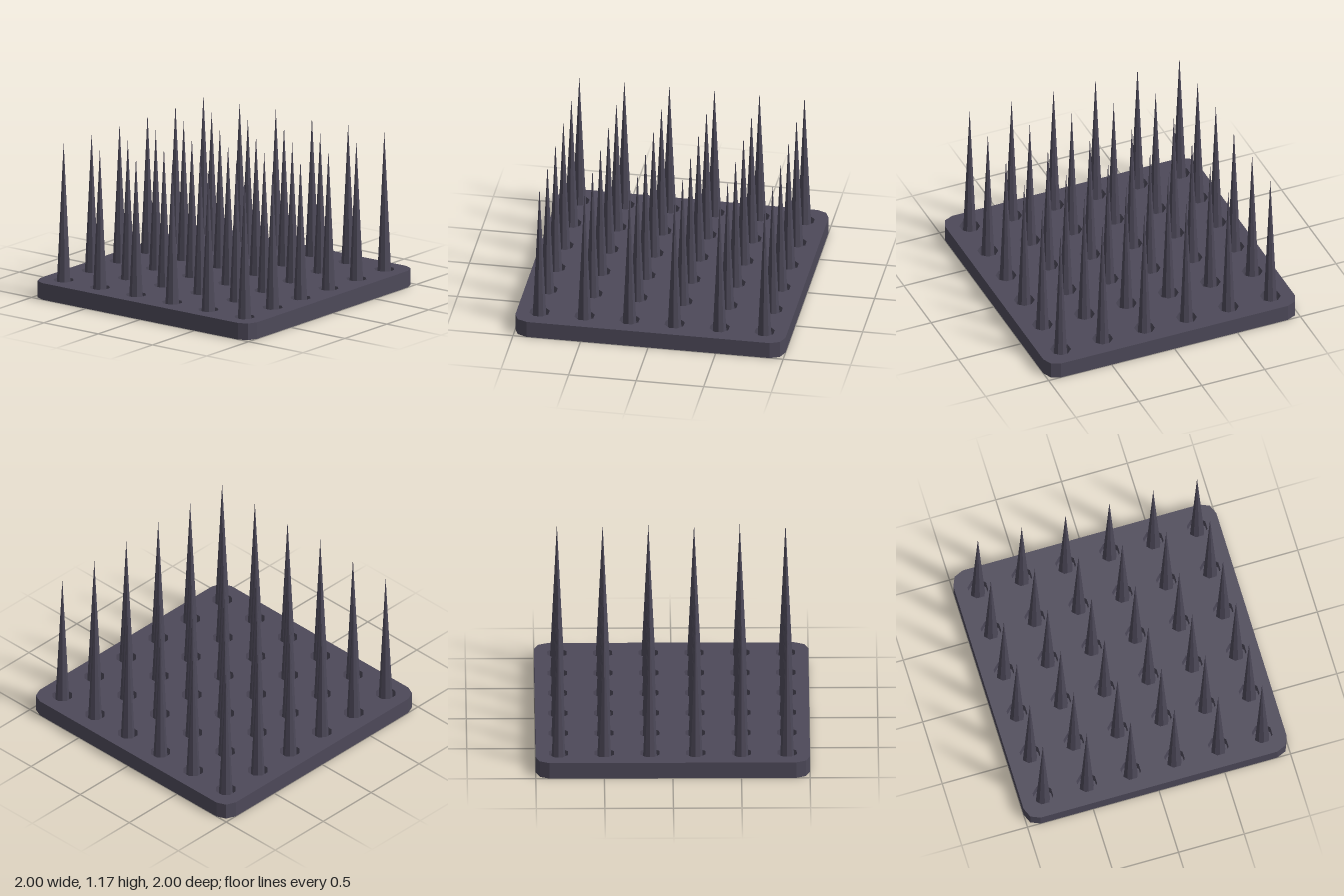
import * as THREE from 'three';
import { mergeGeometries } from 'three/addons/utils/BufferGeometryUtils.js';

const TOP = 0.125, FLOOR = 0.02, TIP = 1.17;
const PIT_R = 0.076, SPIKE_R = 0.054, SIDES = 8, COUNT = 6, PITCH = 1 / 3;

// Vertical wall along a closed outline; counter-clockwise points face outward
function wall(points, y0, y1) {
  const pos = [];
  points.forEach((a, i) => {
    const b = points[(i + 1) % points.length];
    pos.push(a.x, y0, -a.y, b.x, y0, -b.y, b.x, y1, -b.y);
    pos.push(a.x, y0, -a.y, b.x, y1, -b.y, a.x, y1, -a.y);
  });
  const geo = new THREE.BufferGeometry();
  geo.setAttribute('position', new THREE.Float32BufferAttribute(pos, 3));
  geo.computeVertexNormals();
  return geo;
}

// Square outline with two-facet corners, counter-clockwise
function plateOutline() {
  const corner = [[1, 0.9], [0.97, 0.97], [0.9, 1]];
  const points = [];
  for (let q = 0; q < 4; q++) {
    for (const [x, y] of corner) {
      points.push(new THREE.Vector2(x, y).rotateAround(new THREE.Vector2(), q * Math.PI / 2));
    }
  }
  return points;
}

// Octagon with flats square to the plate, clockwise so its wall faces inward
function pitOutline(cx, cy) {
  return Array.from({ length: SIDES }, (_, i) => {
    const a = -(i + 0.5) / SIDES * Math.PI * 2;
    return new THREE.Vector2(cx + PIT_R * Math.cos(a), cy + PIT_R * Math.sin(a));
  });
}

export function createModel() {
  const group = new THREE.Group();
  const material = new THREE.MeshStandardMaterial({ color: 0x4d4959, flatShading: true });
  const add = (name, geo) => {
    const mesh = new THREE.Mesh(geo, material);
    mesh.name = name;
    group.add(mesh);
    return mesh;
  };

  const outline = plateOutline();
  const topShape = new THREE.Shape(outline);
  const pitParts = [];
  const spikeGeo = new THREE.ConeGeometry(SPIKE_R, TIP - FLOOR, SIDES, 1, true);

  // Grid of spikes, each standing in a shallow octagonal pit
  for (let i = 0; i < COUNT; i++) {
    for (let j = 0; j < COUNT; j++) {
      const x = (i - (COUNT - 1) / 2) * PITCH;
      const y = (j - (COUNT - 1) / 2) * PITCH;
      const pit = pitOutline(x, y);
      topShape.holes.push(new THREE.Path(pit));
      pitParts.push(wall(pit, FLOOR, TOP));
      const floor = new THREE.CircleGeometry(PIT_R, SIDES, Math.PI / SIDES).toNonIndexed();
      floor.deleteAttribute('uv');
      pitParts.push(floor.rotateX(-Math.PI / 2).translate(x, FLOOR, -y));
      add('spike', spikeGeo).position.set(x, (TIP + FLOOR) / 2, -y);
    }
  }

  // Plate
  add('plateTop', new THREE.ShapeGeometry(topShape).rotateX(-Math.PI / 2).translate(0, TOP, 0));
  add('plateUnderside', new THREE.ShapeGeometry(new THREE.Shape(outline)).rotateX(Math.PI / 2));
  add('plateRim', wall(outline, 0, TOP));
  add('spikePits', mergeGeometries(pitParts));
  return group;
}
